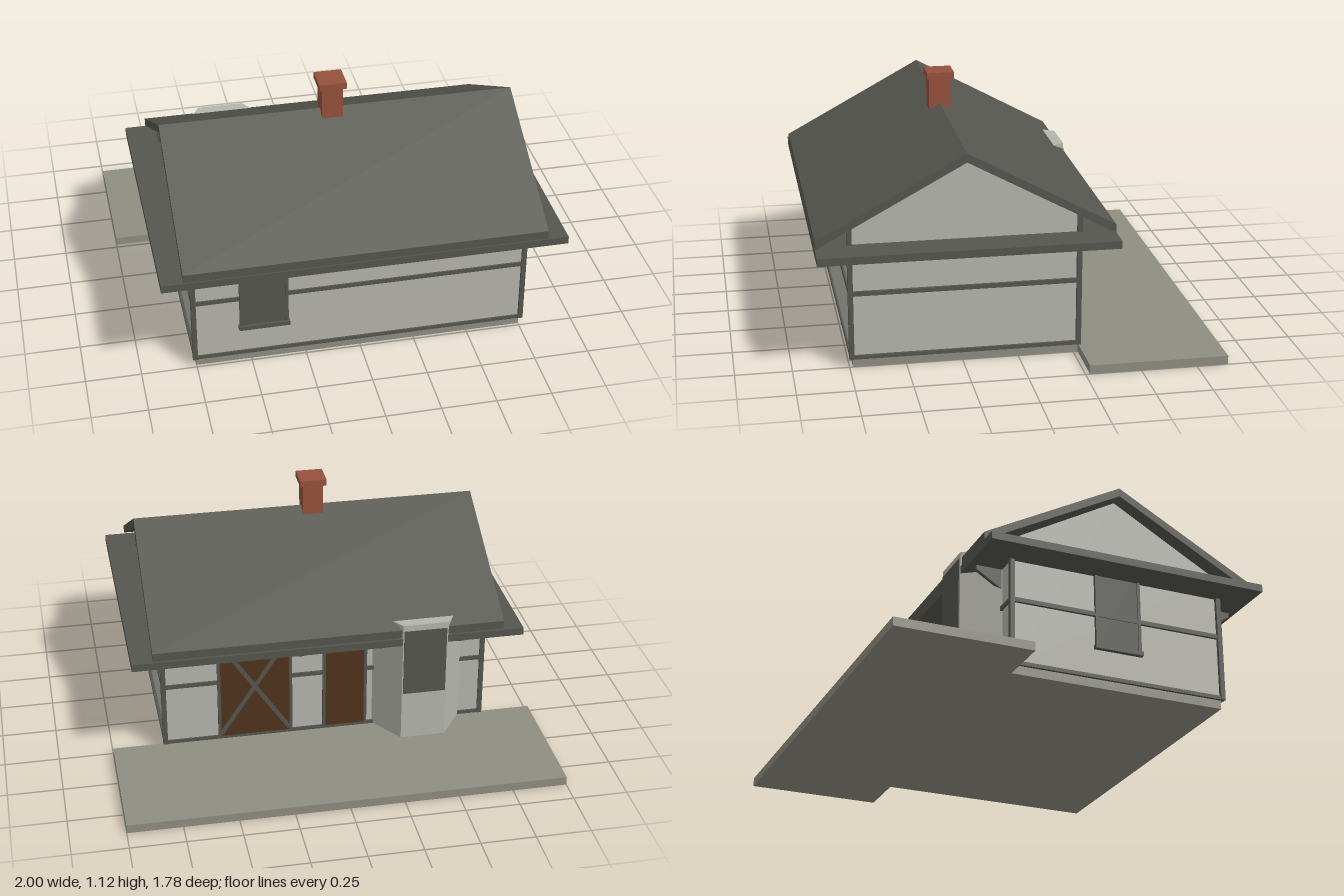
import * as THREE from 'three';

const mat = (name, color) => {
  const m = new THREE.MeshStandardMaterial({ color });
  m.name = name;
  return m;
};

export function createModel() {
  const plaster = mat('pale plaster', 0xb4b5ac);
  const timber = mat('dark timber', 0x55564f);
  const stone = mat('paving stone', 0x8f8d81);
  const brick = mat('red brick', 0x96503c);
  const wood = mat('brown door wood', 0x50321d);
  const house = new THREE.Group();
  house.name = 'house';

  const add = (name, geo, m, parent = house) => {
    const mesh = new THREE.Mesh(geo, m);
    mesh.name = name;
    parent.add(mesh);
    return mesh;
  };
  // box given by its low and high limits on each axis
  const box = (name, m, x0, x1, y0, y1, z0, z1, parent) =>
    add(name, new THREE.BoxGeometry(x1 - x0, y1 - y0, z1 - z0)
      .translate((x0 + x1) / 2, (y0 + y1) / 2, (z0 + z1) / 2), m, parent);
  const shapeOf = (pts) => new THREE.Shape(pts.map(([a, b]) => new THREE.Vector2(a, b)));
  // (z, y) profile extruded along x, centred on cx
  const alongX = (name, m, pts, width, cx = 0) =>
    add(name, new THREE.ExtrudeGeometry(shapeOf(pts), { depth: width, bevelEnabled: false })
      .rotateY(-Math.PI / 2).translate(cx + width / 2, 0, 0), m);

  // ground slabs
  box('foundation', stone, -0.75, 0.75, 0, 0.04, -0.27, 0.735);
  box('patio', stone, -1, 1, 0, 0.04, -0.89, -0.27);

  // walls with gables
  alongX('walls', plaster, [[-0.27, 0.04], [0.74, 0.04], [0.74, 0.64], [0.235, 0.925], [-0.27, 0.64]], 1.5);

  // roof, eaves slab and chimney
  alongX('roof', timber, [[0.89, 0.575], [0.89, 0.614], [0.235, 0.97], [-0.42, 0.614],
    [-0.42, 0.575], [0.235, 0.93]], 1.62);
  box('eavesSlab', timber, -0.905, 0.905, 0.535, 0.57, -0.425, 0.89);
  box('chimney', brick, -0.08, 0.015, 0.9, 1.09, 0.185, 0.285);
  box('chimneyCap', brick, -0.095, 0.03, 1.09, 1.12, 0.17, 0.295);

  // corner posts
  for (const x of [-0.755, 0.755])
    for (const z of [-0.27, 0.74])
      box('cornerPost', timber, x - 0.011, x + 0.011, 0.04, 0.65, z - 0.011, z + 0.011);

  // horizontal rails, interrupted at openings
  for (const [y0, y1] of [[0.04, 0.057], [0.335, 0.355]]) {
    for (const x of [-0.755, 0.755])
      box('sideRail', timber, x - 0.008, x + 0.008, y0, y1, -0.27, 0.74);
    box('frontRail', timber, -0.75, 0.75, y0, y1, 0.735, 0.748);
  }
  box('backSill', timber, -0.75, 0.75, 0.04, 0.057, -0.278, -0.265);
  for (const [x0, x1] of [[-0.75, -0.6], [-0.25, -0.2], [0.01, 0.155], [0.505, 0.75]])
    box('backRail', timber, x0, x1, 0.335, 0.355, -0.278, -0.265);

  // triangular eaves brackets on front and back
  for (const x of [-0.64, -0.265, 0.115, 0.49]) {
    alongX('frontBracket', timber, [[0.74, 0.44], [0.86, 0.515], [0.86, 0.536], [0.74, 0.536]], 0.02, x);
    alongX('backBracket', timber, [[-0.27, 0.44], [-0.27, 0.536], [-0.39, 0.536], [-0.39, 0.515]], 0.02, x);
  }

  // frame and panel facing +z, centred on x = 0 and lying against z = 0
  const opening = (name, panel, w, y0, y1) => {
    const g = new THREE.Group();
    g.name = name;
    const h = w / 2;
    box('panel', panel, -h, h, y0, y1, -0.005, 0.009, g);
    for (const s of [-1, 1])
      box('jamb', timber, s * (h - 0.007) - 0.007, s * (h - 0.007) + 0.007, y0, y1, -0.005, 0.014, g);
    box('head', timber, -h, h, y1 - 0.02, y1, -0.005, 0.016, g);
    house.add(g);
    return g;
  };

  // shuttered windows on the front and right sides
  for (const side of ['frontWindow', 'rightWindow']) {
    const g = opening(side, timber, 0.22, 0.18, 0.615);
    box('windowSill', timber, -0.115, 0.115, 0.18, 0.2, -0.005, 0.022, g);
    if (side === 'frontWindow') g.position.set(-0.44, 0, 0.74);
    else {
      g.position.set(-0.75, 0, 0.235);
      g.rotation.y = -Math.PI / 2;
    }
  }

  // back doors, the wide one cross-braced
  const wide = opening('bracedDoor', wood, 0.35, 0.055, 0.615);
  wide.position.set(0.33, 0, -0.27);
  wide.rotation.y = Math.PI;
  for (const s of [-1, 1]) {
    const brace = box('crossBrace', timber, -0.01, 0.01, -0.29, 0.29, 0, 0.012 + s * 0.0005, wide);
    brace.position.y = 0.31;
    brace.rotation.z = s * Math.atan2(0.32, 0.48);
  }
  const narrow = opening('backDoor', wood, 0.21, 0.055, 0.615);
  narrow.position.set(-0.095, 0, -0.27);
  narrow.rotation.y = Math.PI;

  // bay rising through the eaves, with a window on its face
  const bay = shapeOf([[-0.655, -0.265], [-0.545, -0.426], [-0.335, -0.426], [-0.225, -0.265]]);
  add('bay', new THREE.ExtrudeGeometry(bay, { depth: 0.6, bevelEnabled: false })
    .rotateX(Math.PI / 2).translate(0, 0.64, 0), plaster);
  box('bayWindow', timber, -0.54, -0.34, 0.28, 0.61, -0.43, -0.425);

  return house;
}
